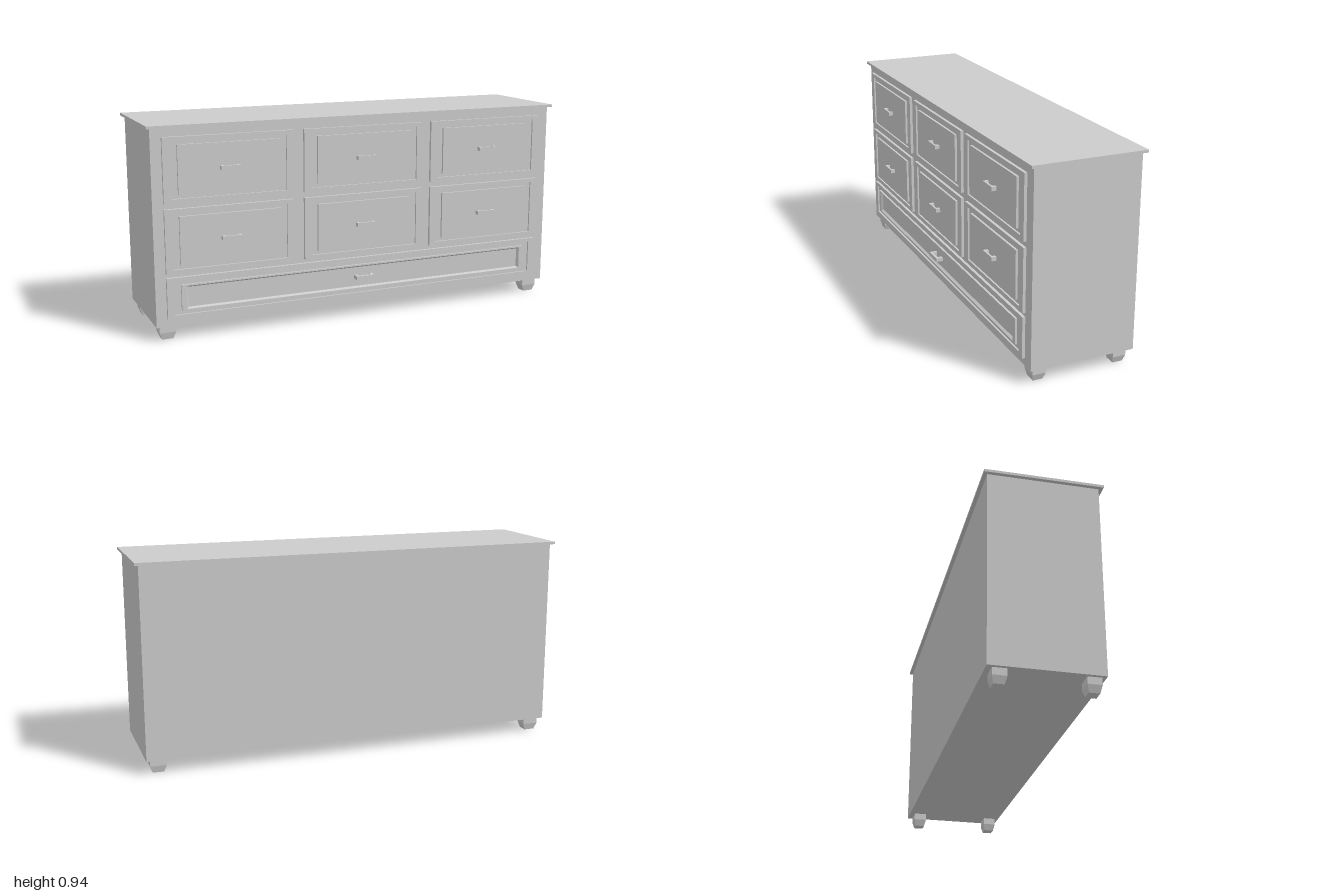
import * as THREE from 'three';

const grey = new THREE.MeshStandardMaterial({ color: 0xcccccc, flatShading: true });

function add(parent, name, geometry, x = 0, y = 0, z = 0) {
  const mesh = new THREE.Mesh(geometry, grey);
  mesh.name = name;
  mesh.position.set(x, y, z);
  parent.add(mesh);
  return mesh;
}

// Box given by its limits on each axis
function addBox(parent, name, [x0, x1], [y0, y1], [z0, z1]) {
  return add(parent, name, new THREE.BoxGeometry(x1 - x0, y1 - y0, z1 - z0),
    (x0 + x1) / 2, (y0 + y1) / 2, (z0 + z1) / 2);
}

// Moulded panel: nested rectangles [insetX, insetY, z] joined in steps, last one capped
function mouldedPanel(w, h, steps) {
  const pos = [];
  const ring = ([ix, iy, z]) => {
    const a = w / 2 - ix, b = h / 2 - iy;
    return [[-a, -b, z], [a, -b, z], [a, b, z], [-a, b, z]];
  };
  const quad = (a, b, c, d) => pos.push(...a, ...b, ...c, ...a, ...c, ...d);
  const rings = steps.map(ring);
  for (let i = 0; i < rings.length - 1; i++) {
    for (let k = 0; k < 4; k++) {
      const n = (k + 1) % 4;
      quad(rings[i][k], rings[i][n], rings[i + 1][n], rings[i + 1][k]);
    }
  }
  quad(...rings[rings.length - 1]);
  const geometry = new THREE.BufferGeometry();
  geometry.setAttribute('position', new THREE.Float32BufferAttribute(pos, 3));
  geometry.computeVertexNormals();
  return geometry;
}

// U-shaped pull: two short posts and a bar, drawn in plan and extruded upwards
function handleGeometry() {
  const plan = new THREE.Shape([
    [-0.045, 0], [-0.03, 0], [-0.03, 0.015], [0.03, 0.015],
    [0.03, 0], [0.045, 0], [0.045, 0.024], [-0.045, 0.024],
  ].map(([x, y]) => new THREE.Vector2(x, y)));
  const geometry = new THREE.ExtrudeGeometry(plan, { depth: 0.018, bevelEnabled: false });
  return geometry.translate(0, 0, -0.009).rotateX(Math.PI / 2);
}

// Block foot whose lower half tapers to the floor
function footGeometry() {
  const geometry = new THREE.BoxGeometry(0.074, 0.063, 0.061, 1, 2, 1);
  const p = geometry.attributes.position;
  for (let i = 0; i < p.count; i++) {
    if (p.getY(i) < -0.01) {
      p.setX(i, p.getX(i) * 0.68);
      p.setZ(i, p.getZ(i) * 0.75);
    }
  }
  geometry.computeVertexNormals();
  return geometry;
}

export function createModel() {
  const model = new THREE.Group();
  model.name = 'dresser';

  // Carcass and top
  addBox(model, 'carcass', [-0.983, 0.983], [0.063, 0.933], [-0.25, 0.23]);
  addBox(model, 'top', [-1, 1], [0.933, 0.945], [-0.266, 0.248]);

  // Frame, groove and raised field, shared by all drawers
  const raised = [
    [0, 0, 0], [0, 0, 0.013], [0.032, 0.018, 0.013], [0.032, 0.018, 0.005],
    [0.064, 0.034, 0.005], [0.064, 0.034, 0.015],
  ];
  // The long drawer has a sunken field inside the raised lip
  const sunken = [...raised, [0.086, 0.041, 0.015], [0.095, 0.048, 0.004]];

  const handle = handleGeometry();
  function addDrawer([x0, x1], [y0, y1], steps, handleZ) {
    const drawer = new THREE.Group();
    drawer.name = 'drawer';
    drawer.position.set((x0 + x1) / 2, (y0 + y1) / 2, 0.23);
    add(drawer, 'drawerFront', mouldedPanel(x1 - x0, y1 - y0, steps));
    const pull = add(drawer, 'handle', handle, 0, 0, handleZ);
    // Long drawer: posts reach back to the sunken field
    if (steps === sunken) pull.scale.z = 0.033 / 0.024;
    model.add(drawer);
  }

  const columns = [[-0.935, -0.347], [-0.296, 0.296], [0.338, 0.927]];
  const rows = [[0.61, 0.895], [0.3, 0.585]];
  for (const row of rows) {
    for (const column of columns) addDrawer(column, row, raised, 0.013);
  }
  addDrawer([-0.935, 0.927], [0.097, 0.283], sunken, 0.004);

  // Feet
  const foot = footGeometry();
  for (const x of [-0.93, 0.927]) {
    for (const z of [0.182, -0.196]) add(model, 'foot', foot, x, 0.0315, z);
  }

  return model;
}
